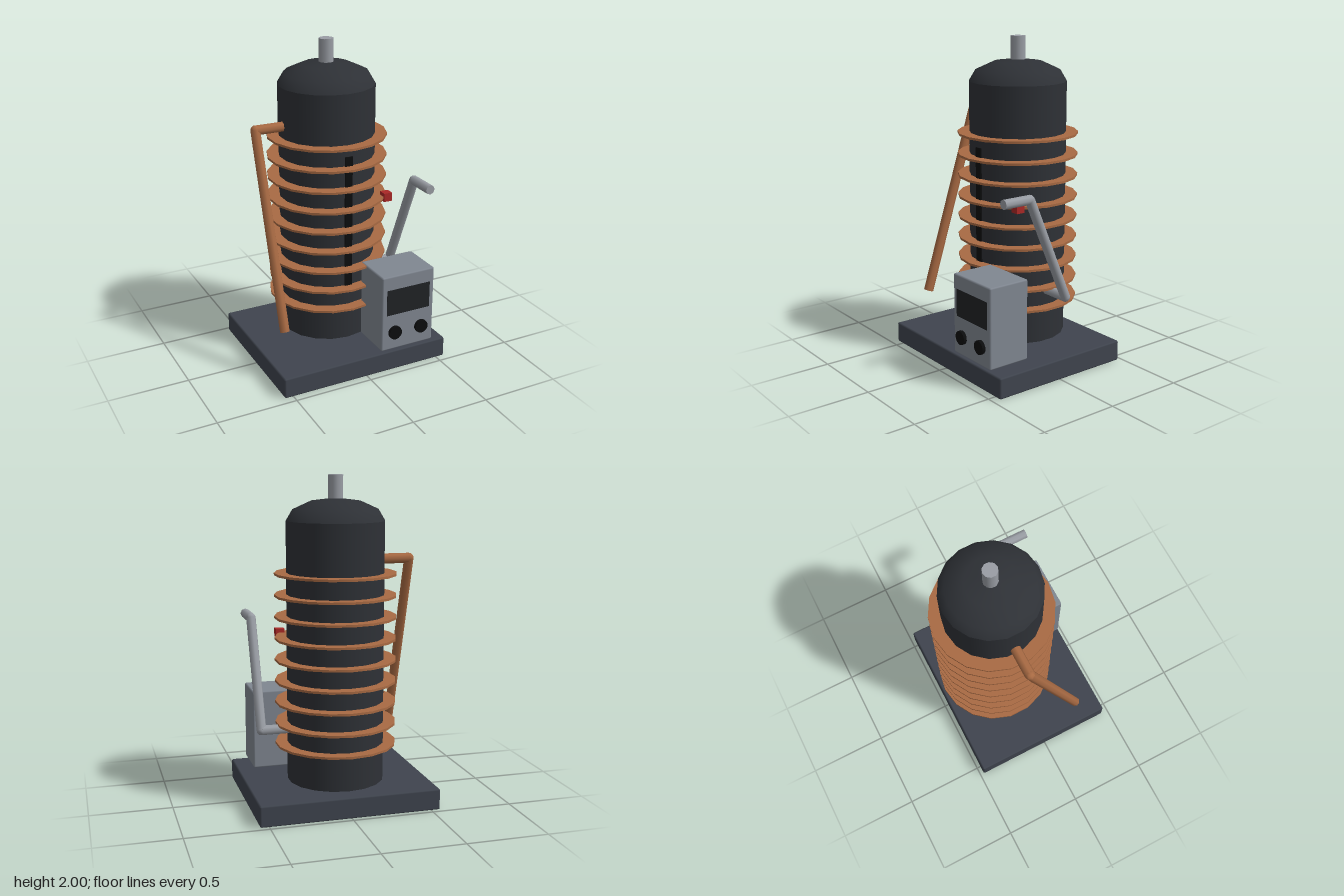
import * as THREE from 'three';
import { RoundedBoxGeometry } from 'three/addons/geometries/RoundedBoxGeometry.js';

const material = (color) => new THREE.MeshStandardMaterial({ color });

export function createModel() {
  const model = new THREE.Group();
  model.name = 'coiledBoiler';

  const slate = material(0x3f444e);
  const iron = material(0x2e3136);
  const copper = material(0xa86a43);
  const steel = material(0x999da4);
  const casing = material(0x808791);
  const black = material(0x0c0d0e);
  const glass = material(0x202225);
  const red = material(0xaa2826);

  const axisZ = -0.105; // centre of the tank
  const sides = 18;

  function add(parent, name, geometry, mat, x = 0, y = 0, z = 0) {
    const mesh = new THREE.Mesh(geometry, mat);
    mesh.name = name;
    mesh.position.set(x, y, z);
    parent.add(mesh);
    return mesh;
  }

  // Straight rods joined by small balls at the bends
  function bentRod(name, coords, radius, mat) {
    const group = new THREE.Group();
    group.name = name;
    const points = coords.map((c) => new THREE.Vector3(...c));
    for (let i = 0; i < points.length - 1; i++) {
      const dir = points[i + 1].clone().sub(points[i]);
      const rod = add(group, name + 'Section', new THREE.CylinderGeometry(radius, radius, dir.length(), 8), mat);
      rod.position.copy(points[i]).addScaledVector(dir, 0.5);
      rod.quaternion.setFromUnitVectors(new THREE.Vector3(0, 1, 0), dir.normalize());
      if (i > 0) add(group, name + 'Joint', new THREE.SphereGeometry(radius, 8, 6), mat, ...coords[i]);
    }
    model.add(group);
  }

  // Base plate
  add(model, 'base', new RoundedBoxGeometry(1.11, 0.13, 0.93, 1, 0.01), slate, 0, 0.065, -0.01);

  // Tank with a flattened dome
  const wallHeight = 1.585;
  add(model, 'tank', new THREE.CylinderGeometry(0.297, 0.297, wallHeight, sides), iron, 0, 0.145 + wallHeight / 2, axisZ);
  const domeProfile = [];
  for (let i = 0; i <= 3; i++) {
    const a = (i * Math.PI) / 6;
    domeProfile.push(new THREE.Vector2(i === 3 ? 0 : 0.297 * Math.cos(a), 0.135 * Math.sin(a)));
  }
  add(model, 'dome', new THREE.LatheGeometry(domeProfile, sides), iron, 0, 1.73, axisZ);
  add(model, 'topStub', new THREE.CylinderGeometry(0.045, 0.045, 0.16, 10), steel, 0, 1.92, axisZ);

  // Stack of flat copper fins
  const finGeometry = new THREE.CylinderGeometry(0.37, 0.37, 0.014, sides);
  for (let i = 0; i < 9; i++) {
    add(model, 'fin', finGeometry, copper, 0, 0.374 + i * 0.1302, axisZ);
  }

  // Dark gauge strip on the front of the tank
  add(model, 'gaugeStrip', new THREE.BoxGeometry(0.048, 0.84, 0.02), black, 0, 0.93, 0.187);

  // Copper outlet pipe on the model's right
  bentRod('outletPipe', [[-0.25, 1.495, axisZ], [-0.466, 1.495, axisZ], [-0.466, 0.337, 0.265]], 0.031, copper);

  // Hand crank on the model's left
  bentRod('crank', [[0.25, 0.475, axisZ], [0.465, 0.475, axisZ], [0.465, 1.12, 0.175], [0.465, 1.12, 0.365]], 0.03, steel);

  // Red marker on the edge of a fin
  add(model, 'redMarker', new THREE.BoxGeometry(0.054, 0.054, 0.054), red, 0.296, 1.028, 0.126);

  // Control box with screen and two knobs
  const control = new THREE.Group();
  control.name = 'controlBox';
  model.add(control);
  add(control, 'casing', new RoundedBoxGeometry(0.362, 0.5, 0.275, 1, 0.01), casing, 0.278, 0.395, 0.3165);
  add(control, 'screen', new THREE.BoxGeometry(0.3, 0.17, 0.02), glass, 0.279, 0.47, 0.4455);
  for (const x of [0.185, 0.37]) {
    const knob = add(control, 'knob', new THREE.CylinderGeometry(0.043, 0.043, 0.04, 14), black, x, 0.265, 0.455);
    knob.rotation.x = Math.PI / 2;
  }

  return model;
}
